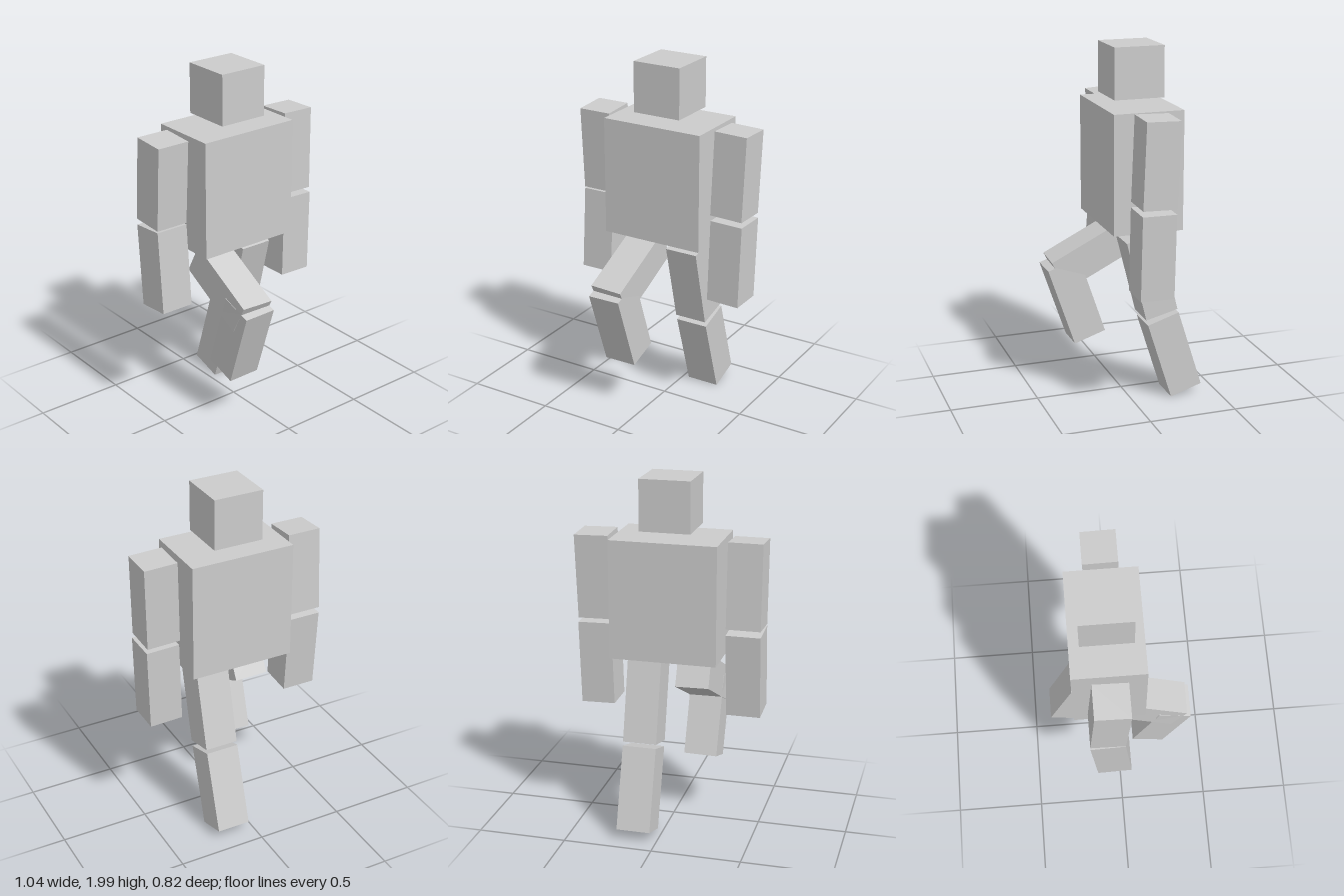
import * as THREE from 'three';

const material = new THREE.MeshStandardMaterial({ color: 0xcccccc, flatShading: true });
const LIMB = 0.19; // side of every limb's square section

function block(name, w, h, d, x, y, z) {
  const mesh = new THREE.Mesh(new THREE.BoxGeometry(w, h, d), material);
  mesh.name = name;
  mesh.position.set(x, y, z);
  return mesh;
}

// Square limb segment running from its upper end centre to its lower end centre
function limb(name, top, bottom) {
  const a = new THREE.Vector3(...top);
  const b = new THREE.Vector3(...bottom);
  const mid = a.clone().add(b).multiplyScalar(0.5);
  const mesh = block(name, LIMB, a.distanceTo(b), LIMB, mid.x, mid.y, mid.z);
  const axis = a.sub(b).normalize();
  mesh.quaternion.setFromUnitVectors(new THREE.Vector3(0, 1, 0), axis);
  return mesh;
}

export function createModel() {
  const figure = new THREE.Group();
  figure.name = 'walkingBlockFigure';

  // Head and body
  figure.add(block('head', 0.282, 0.282, 0.282, 0, 1.859, -0.057));
  figure.add(block('torso', 0.594, 0.662, 0.394, 0, 1.344, -0.057));

  // Arms and legs, each an upper and a lower segment
  const limbs = [
    ['leftUpperArm', [0.425, 1.672, -0.057], [0.413, 1.2, -0.043]],
    ['leftForearm', [0.417, 1.172, -0.04], [0.405, 0.702, -0.035]],
    ['rightUpperArm', [-0.427, 1.672, -0.055], [-0.427, 1.2, -0.083]],
    ['rightForearm', [-0.427, 1.178, -0.083], [-0.427, 0.71, -0.047]],
    ['leftThigh', [0.13, 0.964, -0.051], [0.13, 0.508, -0.165]],
    ['leftShin', [0.13, 0.481, -0.174], [0.13, 0.034, -0.315]],
    ['rightThigh', [-0.13, 0.917, -0.074], [-0.143, 0.702, 0.344]],
    ['rightShin', [-0.142, 0.765, 0.32], [-0.135, 0.32, 0.172]],
  ];
  for (const [name, top, bottom] of limbs) figure.add(limb(name, top, bottom));

  return figure;
}
